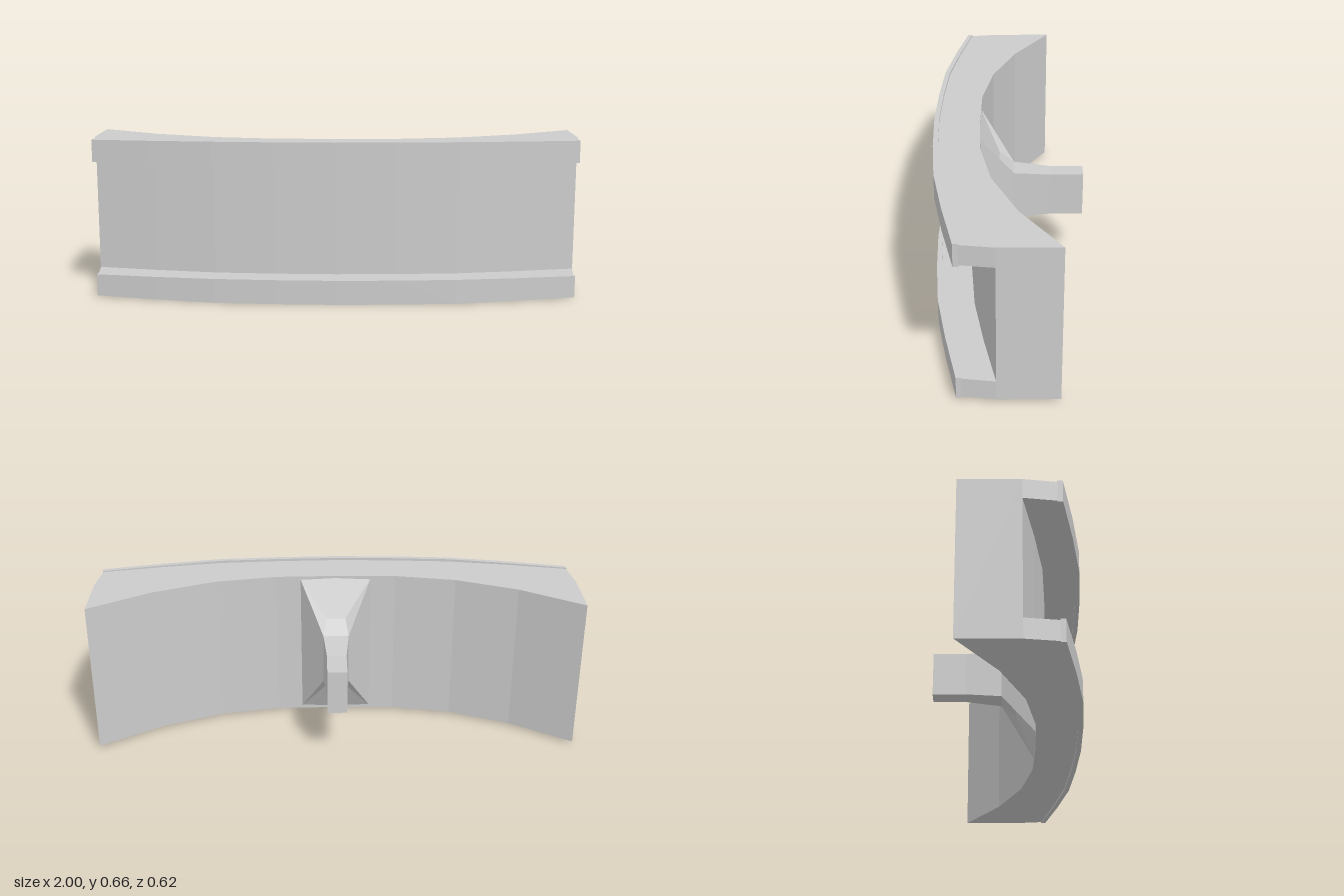
import * as THREE from 'three';

const material = new THREE.MeshStandardMaterial({ color: 0xcccccc, flatShading: true });

// Skins a row of equal-length rings of [x, y, z]; caps lists the quads that close each end.
function loft(name, rings, caps) {
  const pos = [];
  const quad = (a, b, c, d) => pos.push(...a, ...b, ...c, ...a, ...c, ...d);
  const n = rings[0].length;
  for (let i = 0; i < rings.length - 1; i++) {
    for (let j = 0; j < n; j++) {
      const k = (j + 1) % n;
      const a = rings[i][j], b = rings[i + 1][j], c = rings[i + 1][k], d = rings[i][k];
      if (j % 4 === 1) quad(b, c, d, a); // mirrored diagonal
      else quad(a, b, c, d);
    }
  }
  const last = rings[rings.length - 1];
  for (const cap of caps) {
    quad(...cap.map((i) => rings[0][i]));
    quad(...cap.map((i) => last[i]).reverse());
  }
  const geometry = new THREE.BufferGeometry();
  geometry.setAttribute('position', new THREE.Float32BufferAttribute(pos, 3));
  geometry.computeVertexNormals();
  const mesh = new THREE.Mesh(geometry, material);
  mesh.name = name;
  return mesh;
}

// Stations along half the bow: x, back z, front z
const half = [
  [0, 0.12, 0.308],
  [0.25, 0.115, 0.301],
  [0.5, 0.07, 0.285],
  [0.75, -0.03, 0.245],
  [1, -0.185, 0.196],
];
const stations = [...half.slice(1).reverse().map(([x, b, f]) => [-x, b, f]), ...half];

export function createModel() {
  const group = new THREE.Group();

  // Curved channel body, open to the front
  group.add(loft('channelBody', stations.map(([x, back, front]) => {
    const recess = front - 0.146, face = front - 0.015, xf = x * 0.982;
    return [
      [x, 0.01, back], [x, 0.01, recess], [xf, 0.01, face], [xf, 0.09, face], [x, 0.09, recess],
      [x, 0.57, recess], [xf, 0.57, face], [xf, 0.65, face], [x, 0.65, recess], [x, 0.65, back],
    ];
  }), [[0, 1, 8, 9], [1, 2, 3, 4], [5, 6, 7, 8]]));

  // Raised rims along the front of both flanges, slightly slimmer at the ends
  for (const [name, mid] of [['lowerRim', 0.05], ['upperRim', 0.61]]) {
    group.add(loft(name, stations.map(([x, , front]) => {
      const h = 0.05 - 0.005 * Math.max(0, Math.abs(x) - 0.5) * 2;
      const xs = x * 0.985, back = front - 0.02;
      return [[xs, mid - h, back], [xs, mid - h, front], [xs, mid + h, front], [xs, mid + h, back]];
    }), [[0, 1, 2, 3]]));
  }

  // Rear post flaring out onto the back wall; each section has a ridge and a flank (x, half height, z)
  const sections = [
    [[0.04, 0.0935, -0.309], [0.04, 0.0935, -0.309]],
    [[0.04, 0.0935, -0.17], [0.04, 0.0935, -0.17]],
    [[0.053, 0.107, -0.02], [0.053, 0.107, -0.02]],
    [[0.04, 0.16, 0.04], [0.053, 0.107, -0.02]],
    [[0.15, 0.312, 0.121], [0.15, 0.107, 0.121]],
  ];
  const cy = 0.33;
  group.add(loft('rearPost', sections.map(([[rx, ry, rz], [fx, fy, fz]]) => [
    [rx, cy - ry, rz], [-rx, cy - ry, rz], [-fx, cy - fy, fz], [-fx, cy + fy, fz],
    [-rx, cy + ry, rz], [rx, cy + ry, rz], [fx, cy + fy, fz], [fx, cy - fy, fz],
  ]), [[0, 1, 4, 5]]));

  return group;
}
